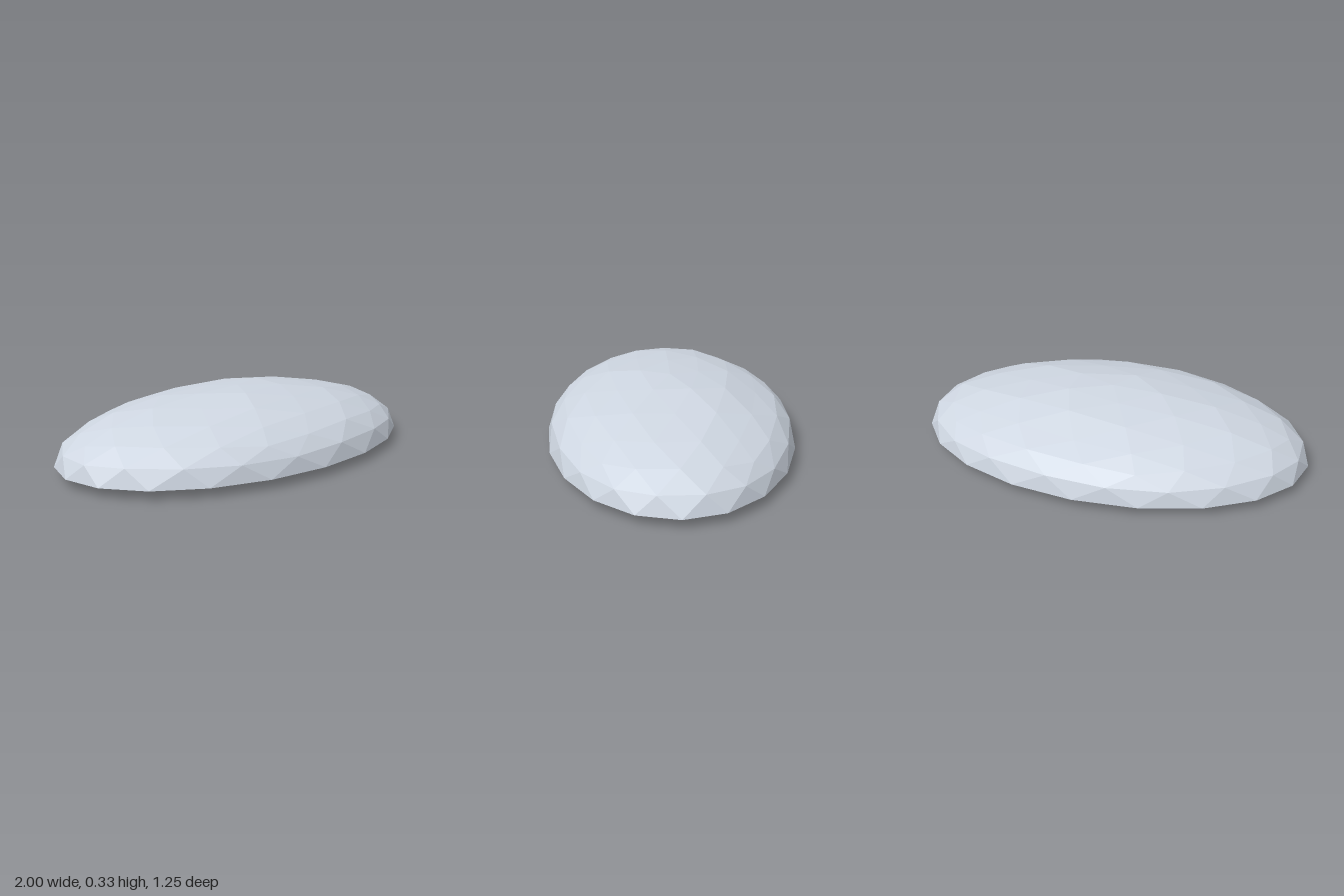
import * as THREE from 'three';
import { ConvexGeometry } from 'three/addons/geometries/ConvexGeometry.js';

const BASE = 0.047, HEIGHT = 0.285, HALF_X = 1, HALF_Z = 0.625;

// Faceted upper half of an icosphere, squashed into a flat, slightly uneven mound
function moundGeometry() {
  const sphere = new THREE.IcosahedronGeometry(1, 3);
  sphere.rotateZ(Math.atan(2 / (1 + Math.sqrt(5)))); // one corner points straight up
  const p = sphere.attributes.position;
  const out = [];
  for (let i = 0; i < p.count; i += 3) {
    if (p.getY(i) + p.getY(i + 1) + p.getY(i + 2) < 0.01) continue;
    for (let j = i; j < i + 3; j++) {
      const x = p.getX(j), z = p.getZ(j), h = Math.max(0, p.getY(j));
      const rise = h < 0.01 ? 0 : Math.pow(h, 0.93);
      // small unevenness, with shallow dips on the left shoulder and the back
      const bump = 0.004 * rise * (Math.sin(9 * x + 5 * z + 1) + Math.sin(11 * z - 6 * x))
        - 0.014 * rise * Math.exp(-((x - 0.62) ** 2) / 0.05)
        - 0.014 * rise * Math.exp(-((z + 0.65) ** 2) / 0.05);
      out.push(x * HALF_X, BASE + Math.min(HEIGHT, rise * HEIGHT + bump), z * HALF_Z);
    }
  }
  const geo = new THREE.BufferGeometry();
  geo.setAttribute('position', new THREE.Float32BufferAttribute(out, 3));
  geo.computeVertexNormals();
  return geo;
}

export function createModel() {
  const group = new THREE.Group();
  const paleStone = new THREE.MeshStandardMaterial({ color: 0xced6e1, flatShading: true });
  paleStone.name = 'pale stone';
  const darkStone = new THREE.MeshStandardMaterial({ color: 0x3e454a, flatShading: true });
  darkStone.name = 'dark stone';

  const add = (name, geo, mat) => {
    const mesh = new THREE.Mesh(geo, mat);
    mesh.name = name;
    group.add(mesh);
  };

  add('mound', moundGeometry(), paleStone);

  // Flat underside closing the mound
  const under = new THREE.CircleGeometry(1, 20);
  under.rotateX(Math.PI / 2);
  under.scale(HALF_X, 1, HALF_Z);
  under.translate(0, BASE, 0);
  add('underside', under, paleStone);

  // Dark pebbles: outline where they meet the underside, plus their lower corners
  const pebble = (name, outline, lower) => {
    const points = outline.map(([x, z]) => new THREE.Vector3(x, BASE + 0.003, z));
    lower.forEach((c) => points.push(new THREE.Vector3(...c)));
    add(name, new ConvexGeometry(points), darkStone);
  };
  pebble('leftPebble',
    [[0.475, 0.145], [0.47, 0.06], [0.30, -0.11], [0.20, -0.12], [0.11, -0.01], [0.30, 0.155]],
    [[0.38, 0, 0.02], [0.24, 0.015, -0.04], [0.35, 0.015, 0.10], [0.15, 0.025, -0.01]]);
  pebble('rightPebble',
    [[-0.015, -0.145], [-0.16, -0.26], [-0.31, -0.015]],
    [[-0.17, 0.009, -0.22], [-0.31, 0.024, -0.05], [-0.08, 0.02, -0.18]]);

  return group;
}
